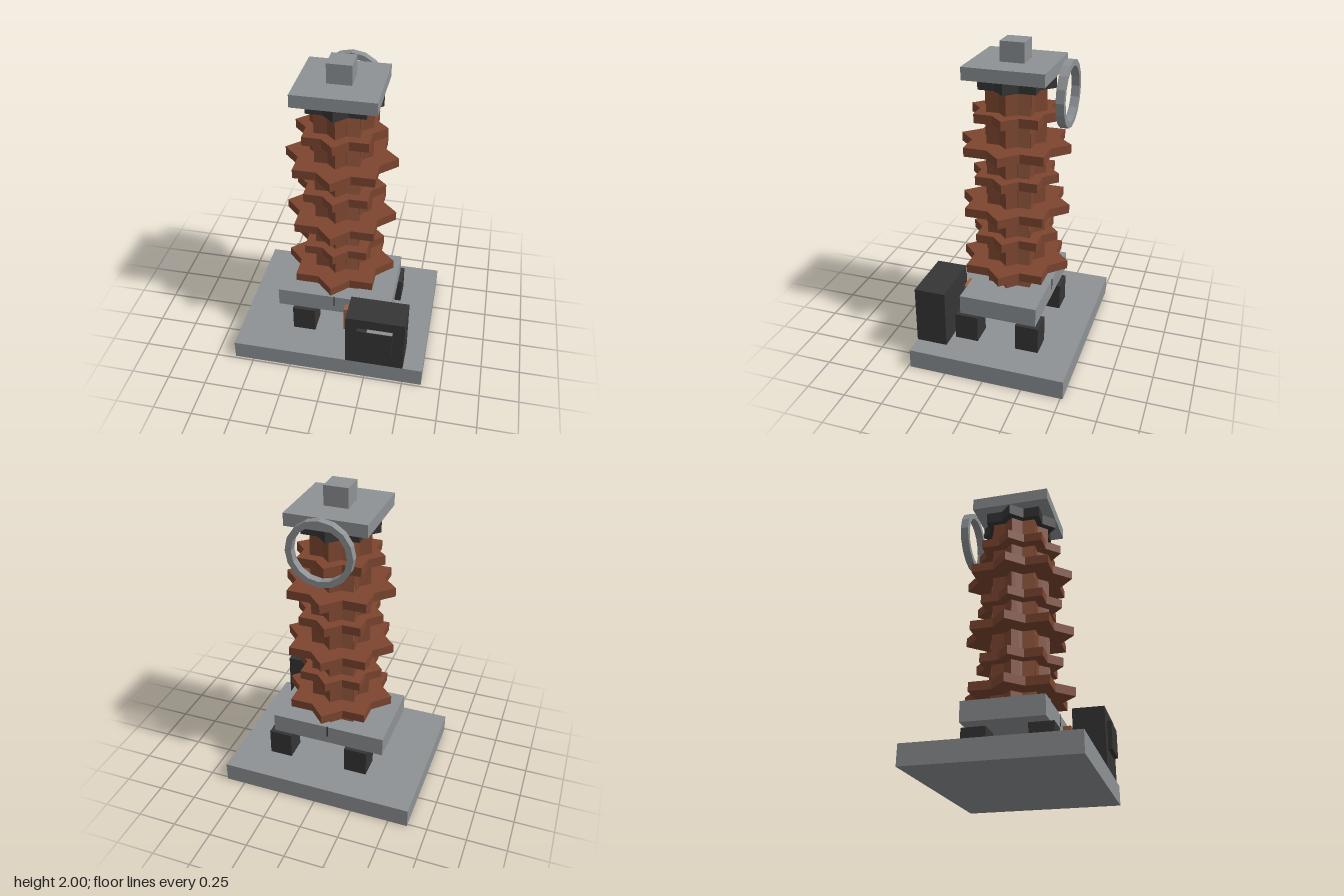
import * as THREE from 'three';

const material = (name, color) => {
  const m = new THREE.MeshStandardMaterial({ color, flatShading: true });
  m.name = name;
  return m;
};

export function createModel() {
  const grey = material('stone grey', 0x8e9295);
  const dark = material('charcoal', 0x353535);
  const copper = material('copper', 0x7d4630);
  const paleCopper = material('pale copper', 0x9c5f41);
  const model = new THREE.Group();
  model.name = 'coilTower';
  const axisZ = -0.015;

  // Box given by its minimum and maximum on each axis
  function box(name, mat, [x0, x1], [y0, y1], [z0, z1], parent = model) {
    const mesh = new THREE.Mesh(new THREE.BoxGeometry(x1 - x0, y1 - y0, z1 - z0), mat);
    mesh.position.set((x0 + x1) / 2, (y0 + y1) / 2, (z0 + z1) / 2);
    mesh.name = name;
    parent.add(mesh);
    return mesh;
  }

  // Eight-pointed prism: the outline of two squares crossed at 45 degrees
  function star(name, mat, halfSide, y0, y1) {
    const shape = new THREE.Shape();
    const tip = halfSide * Math.SQRT2;
    const notch = halfSide / Math.cos(Math.PI / 8);
    for (let i = 0; i < 16; i++) {
      const r = i % 2 ? notch : tip;
      const a = (i * Math.PI) / 8;
      shape[i ? 'lineTo' : 'moveTo'](r * Math.cos(a), r * Math.sin(a));
    }
    const geo = new THREE.ExtrudeGeometry(shape, { depth: y1 - y0, bevelEnabled: false });
    geo.rotateX(-Math.PI / 2);
    const mesh = new THREE.Mesh(geo, mat);
    mesh.position.set(0, y0, axisZ);
    mesh.name = name;
    model.add(mesh);
  }

  // Base, feet and raised platform
  box('base', grey, [-0.625, 0.625], [0, 0.125], [-0.515, 0.485]);
  for (const x of [-0.275, 0.25])
    for (const z of [-0.29, 0.11])
      box('foot', dark, [x, x + 0.15], [0.125, 0.3], [z, z + 0.15]);
  box('platform', grey, [-0.375, 0.375], [0.3, 0.425], [-0.265, 0.235]);
  for (const z of [-0.265, 0.235])
    box('platformNotch', dark, [-0.004, 0.004], [0.35, 0.427], [z - 0.003, z + 0.003]);

  // Column with star-shaped fins, alternating wide and narrow
  star('column', copper, 0.1385, 0.425, 1.73);
  for (let i = 0; i < 6; i++) {
    const y = 0.53 + i * 0.2;
    star('fin', copper, i % 2 ? 0.198 : 0.248, y, y + 0.057);
  }

  // Pale strips on one face of each column side
  for (let i = 0; i < 4; i++) {
    const side = new THREE.Group();
    side.name = 'columnStripSide';
    side.position.z = axisZ;
    side.rotation.y = (i * Math.PI) / 2;
    box('columnStrip', paleCopper, [0.059, 0.137], [0.425, 1.73], [0.136, 0.14], side);
    model.add(side);
  }

  // Cap and knob
  star('collar', dark, 0.177, 1.73, 1.8);
  box('topPlate', grey, [-0.25, 0.25], [1.8, 1.878], [-0.265, 0.235]);
  box('knob', grey, [-0.075, 0.075], [1.878, 2], [-0.09, 0.06]);

  // Upright ring behind the cap
  const profile = [[0.165, -0.025], [0.202, -0.025], [0.202, 0.025], [0.165, 0.025], [0.165, -0.025]]
    .map(([r, h]) => new THREE.Vector2(r, h));
  const ring = new THREE.Mesh(new THREE.LatheGeometry(profile, 16), grey);
  ring.rotation.x = Math.PI / 2;
  ring.position.set(0, 1.702, -0.338);
  ring.name = 'ring';
  model.add(ring);

  // Control box with its panel and connector
  box('controlBox', dark, [0.125, 0.5], [0.125, 0.5], [0.285, 0.485]);
  box('controlPanel', dark, [0.2, 0.425], [0.25, 0.428], [0.485, 0.512]);
  box('panelTopEdge', grey, [0.265, 0.425], [0.428, 0.431], [0.485, 0.511]);
  box('connector', paleCopper, [0.075, 0.175], [0.2, 0.375], [0.185, 0.286]);

  return model;
}
